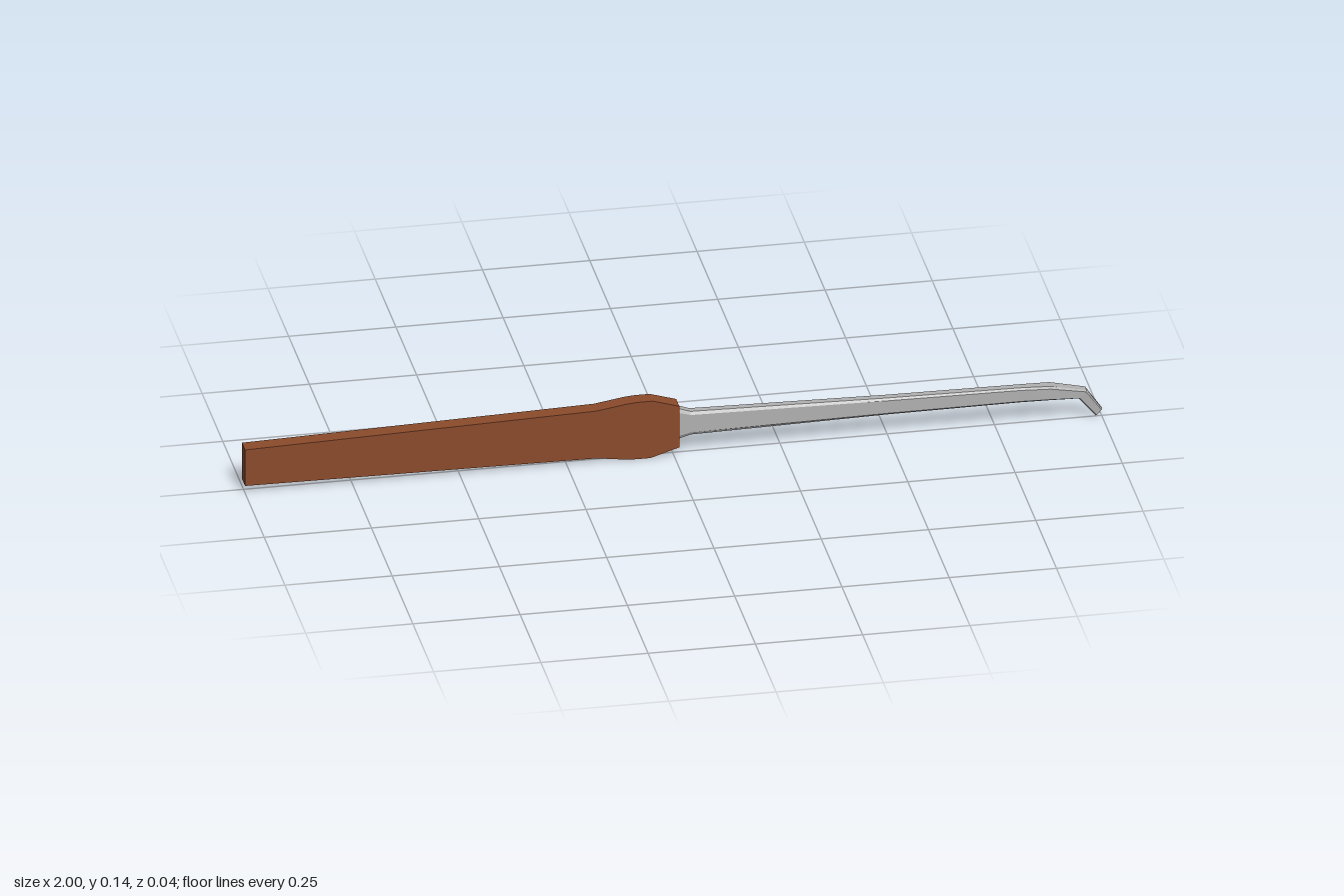
import * as THREE from 'three';

// Skin a row of rings (same point count) into a closed, flat-shaded solid
function loft(rings) {
  const pos = [];
  const n = rings[0].length;
  const tri = (a, b, c) => pos.push(...a, ...b, ...c);
  for (let i = 0; i < rings.length - 1; i++) {
    for (let j = 0; j < n; j++) {
      const k = (j + 1) % n;
      const a = rings[i][j], b = rings[i][k], c = rings[i + 1][k], d = rings[i + 1][j];
      tri(a, b, c);
      tri(a, c, d);
    }
  }
  const first = rings[0], last = rings[rings.length - 1];
  for (let j = 1; j < n - 1; j++) {
    tri(first[0], first[j + 1], first[j]);
    tri(last[0], last[j], last[j + 1]);
  }
  const geometry = new THREE.BufferGeometry();
  geometry.setAttribute('position', new THREE.Float32BufferAttribute(pos, 3));
  geometry.computeVertexNormals();
  return geometry;
}

// Chamfered section between a top and a bottom point, seen along +x
function section([xt, yt, xb, yb, w]) {
  const at = (t, z) => [xb + (xt - xb) * t, yb + (yt - yb) * t, z];
  const c = w * 0.65;
  return [
    at(1, c), at(1, -c), at(0.88, -w), at(0.12, -w),
    at(0, -c), at(0, c), at(0.12, w), at(0.88, w),
  ].reverse();
}

export function createModel() {
  const group = new THREE.Group();
  const wood = new THREE.MeshStandardMaterial({ color: 0x8b4a2b });
  wood.name = 'brown wood';
  const steel = new THREE.MeshStandardMaterial({ color: 0xb0b0b0 });
  steel.name = 'grey steel';

  // Flat slab handle, swelling just before the shaft
  const outline = [
    [-1, 0.018], [-0.18, 0.011], [-0.11, 0.001], [-0.085, 0], [-0.055, 0], [0.012, 0.021],
    [0.012, 0.126], [-0.05, 0.145], [-0.085, 0.145], [-0.11, 0.143], [-0.18, 0.132], [-1, 0.11],
  ].map(([x, y]) => new THREE.Vector2(x, y));
  const handleGeometry = new THREE.ExtrudeGeometry(new THREE.Shape(outline), {
    depth: 0.038, bevelEnabled: false,
  });
  handleGeometry.translate(0, 0, -0.019);
  const handle = new THREE.Mesh(handleGeometry, wood);
  handle.name = 'handle';

  // Slim shaft with a hooked tip: top x, top y, bottom x, bottom y, half width
  const stations = [
    [0.005, 0.118, 0.005, 0.036, 0.014],
    [0.04, 0.105, 0.04, 0.046, 0.013],
    [0.5, 0.096, 0.5, 0.054, 0.013],
    [0.81, 0.093, 0.81, 0.056, 0.014],
    [0.88, 0.091, 0.87, 0.056, 0.017],
    [0.963, 0.073, 0.945, 0.053, 0.014],
    [1, 0.02, 0.985, 0.004, 0.008],
  ];
  const shaft = new THREE.Mesh(loft(stations.map(section)), steel);
  shaft.name = 'hookedShaft';

  group.add(handle, shaft);
  return group;
}
